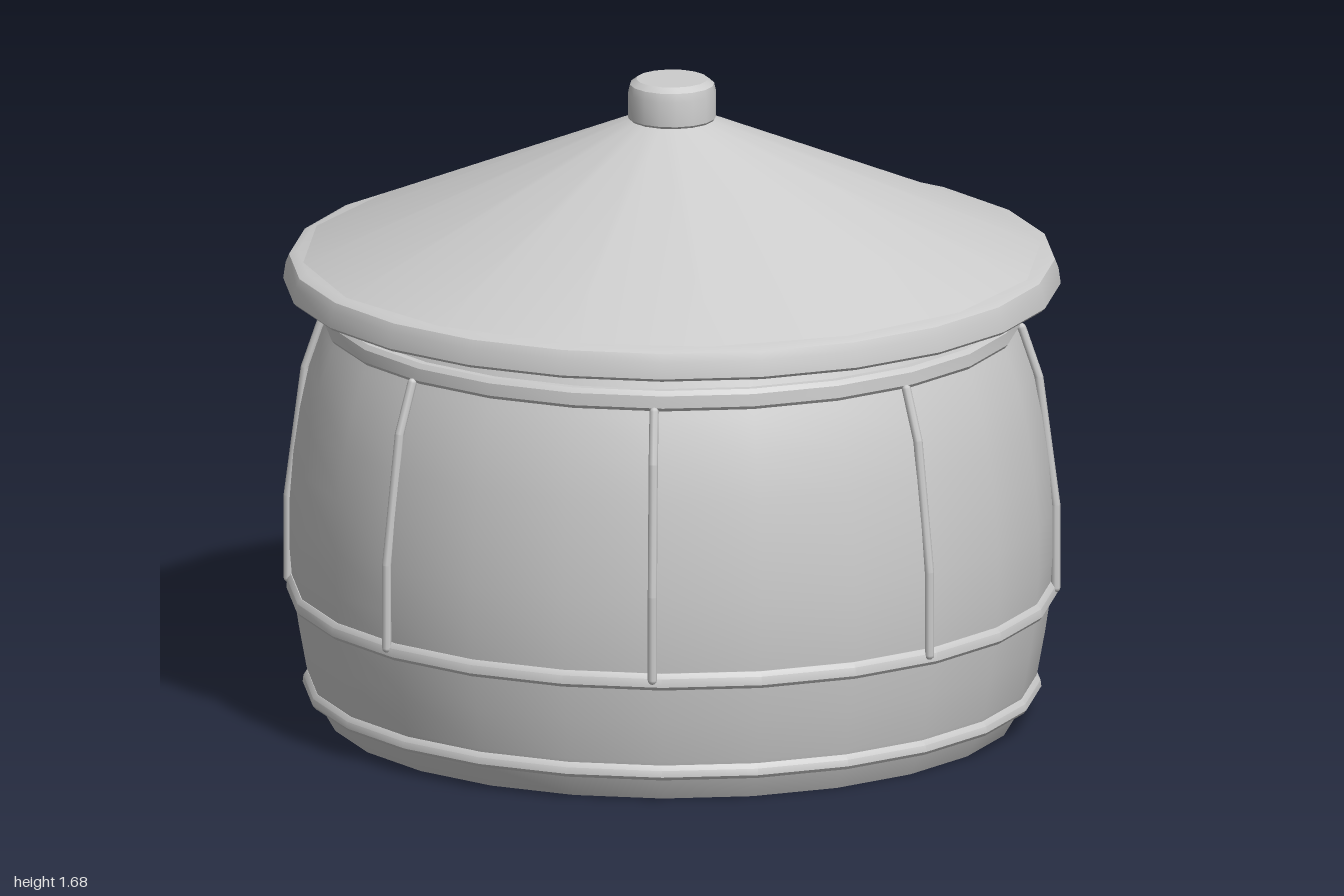
import * as THREE from 'three';
import { toCreasedNormals } from 'three/addons/utils/BufferGeometryUtils.js';

export function createModel() {
  const model = new THREE.Group();
  model.name = 'liddedBasket';
  const grey = new THREE.MeshStandardMaterial({ name: 'light grey', color: 0xcccccc });

  // Revolved part from [radius, height] pairs listed bottom to top
  const turn = (name, profile, sides = 24) => {
    const points = profile.map(([r, y]) => new THREE.Vector2(r, y));
    const geometry = toCreasedNormals(new THREE.LatheGeometry(points, sides), 0.62);
    const mesh = new THREE.Mesh(geometry, grey);
    mesh.name = name;
    model.add(mesh);
  };

  // Bulging body with a flat bottom
  turn('body', [
    [0, 0], [0.89, 0], [0.925, 0.06], [0.94, 0.11], [0.96, 0.22], [0.975, 0.32], [0.984, 0.43],
    [0.984, 0.55], [0.974, 0.68], [0.957, 0.8], [0.934, 0.91], [0.9, 1.01], [0.87, 1.08], [0.84, 1.15],
  ]);

  // Rounded hoops around the body
  const hoop = (name, y0, y1, outer, inner) => turn(name, [
    [inner, y0], [outer - 0.007, y0], [outer, y0 + 0.009],
    [outer - 0.002, y1 - 0.012], [outer - 0.012, y1], [inner, y1],
  ]);
  hoop('baseHoop', 0.062, 0.1, 0.95, 0.9);
  hoop('middleHoop', 0.312, 0.355, 0.992, 0.94);
  hoop('upperHoop', 1.03, 1.083, 0.9, 0.83);

  // Eight ribs, each three rounded rods following the bulge
  const ribPath = [[0.988, 0.34], [0.988, 0.56], [0.944, 0.9], [0.9, 1.03]]
    .map(([r, y]) => new THREE.Vector3(0, y, r));
  const up = new THREE.Vector3(0, 1, 0);
  for (let i = 0; i < 8; i++) {
    const rib = new THREE.Group();
    rib.name = 'rib';
    for (let j = 0; j < 3; j++) {
      const along = ribPath[j + 1].clone().sub(ribPath[j]);
      const rod = new THREE.Mesh(new THREE.CapsuleGeometry(0.012, along.length(), 3, 8), grey);
      rod.name = 'ribRod';
      rod.position.copy(ribPath[j]).addScaledVector(along, 0.5);
      rod.quaternion.setFromUnitVectors(up, along.normalize());
      rib.add(rod);
    }
    rib.rotation.y = THREE.MathUtils.degToRad(13.6 + 45 * i);
    model.add(rib);
  }

  // Lid: rounded rim, shallow cone and knob
  turn('lidRim', [
    [0, 1.135], [0.992, 1.135], [1, 1.143], [0.994, 1.185], [0.985, 1.207], [0.962, 1.217], [0, 1.217],
  ]);
  turn('lidCone', [[0.965, 1.212], [0.1, 1.578]], 16);
  turn('knob', [
    [0, 1.57], [0.106, 1.57], [0.114, 1.58], [0.114, 1.645], [0.109, 1.667], [0.092, 1.68], [0, 1.68],
  ], 16);

  return model;
}
